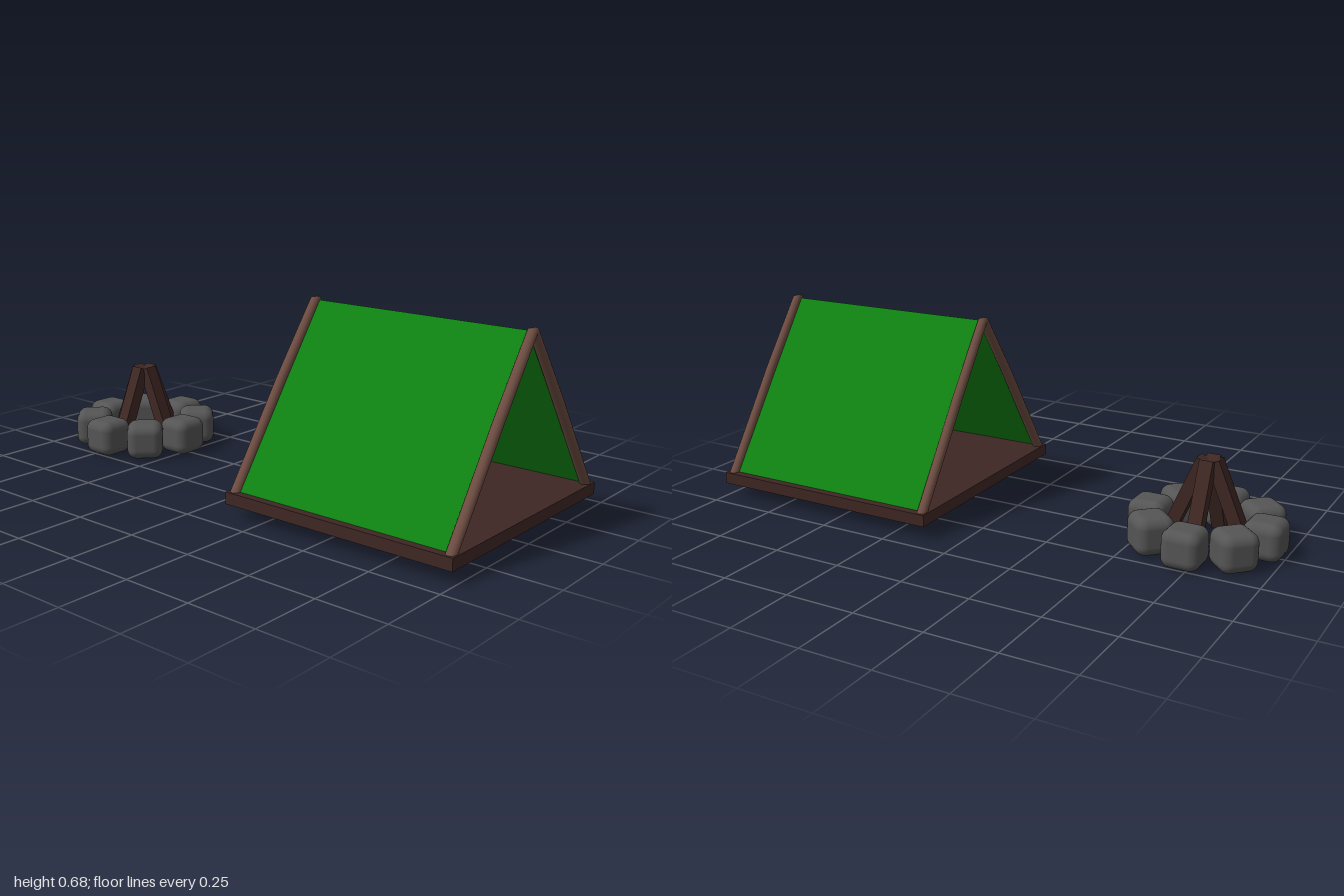
import * as THREE from 'three';
import { RoundedBoxGeometry } from 'three/addons/geometries/RoundedBoxGeometry.js';

const mat = (color, extra = {}) => new THREE.MeshStandardMaterial({ color, ...extra });
const darkWood = mat(0x3e2723);
const paleWood = mat(0x6d4c41, { side: THREE.DoubleSide });
const cloth = mat(0x0f8212, { side: THREE.DoubleSide });
const rock = mat(0x555555);

function add(parent, name, geometry, material) {
  const mesh = new THREE.Mesh(geometry, material);
  mesh.name = name;
  parent.add(mesh);
  return mesh;
}

// Half of the tent outline as [z, y], from the floor to the ridge
const SLOPE = [[0.42, 0.077], [0.18, 0.43], [0, 0.675]];

// Round pole bent over the ridge, slightly bowed, with a blunt top
function poleGeometry(radius = 0.018, sides = 16) {
  const stations = [
    ...SLOPE.map(([z, y]) => [z, y, 1]),
    ...[...SLOPE].reverse().map(([z, y]) => [-z, y, -1]),
  ];
  const positions = [], index = [];
  const ny = 0.575, nz = 0.818; // outward direction of the slope
  stations.forEach(([z, y, side], i) => {
    for (let j = 0; j < sides; j++) {
      const a = (j / sides) * Math.PI * 2;
      const c = Math.cos(a) * radius;
      const pz = Math.max(0, Math.abs(z) + c * nz);
      positions.push(Math.sin(a) * radius, y + c * ny, side * pz);
      if (i < stations.length - 1) {
        const p = i * sides + j, q = i * sides + (j + 1) % sides;
        index.push(p, q, p + sides, q, q + sides, p + sides);
      }
    }
  });
  const g = new THREE.BufferGeometry();
  g.setAttribute('position', new THREE.Float32BufferAttribute(positions, 3));
  g.setIndex(index);
  g.computeVertexNormals();
  return g;
}

function createTent() {
  const tent = new THREE.Group();
  tent.name = 'tent';
  tent.position.x = 0.56;

  add(tent, 'floor', new THREE.BoxGeometry(0.88, 0.042, 0.88), darkWood).position.y = 0.069;

  for (const side of [-1, 1]) {
    add(tent, 'pole', poleGeometry(), paleWood).position.x = side * 0.418;

    // Flat cloth sheet from ridge to floor edge
    const [z, y] = SLOPE[0], top = SLOPE[2][1];
    const sheet = add(tent, 'clothSide',
      new THREE.PlaneGeometry(0.836, Math.hypot(z, top - y)), cloth);
    sheet.position.set(0, (y + top) / 2, side * z / 2);
    const tilt = Math.atan2(z, top - y);
    sheet.rotation.x = side > 0 ? -tilt : Math.PI + tilt;
  }
  return tent;
}

function createCampfire() {
  const fire = new THREE.Group();
  fire.name = 'campfire';
  fire.position.x = -0.727;

  // Ring of rounded stones
  const stone = new RoundedBoxGeometry(0.135, 0.133, 0.135, 4, 0.036);
  for (let i = 0; i < 8; i++) {
    const a = (i / 8) * Math.PI * 2;
    const mesh = add(fire, 'stone', stone, rock);
    mesh.position.set(Math.cos(a) * 0.205, 0.067, Math.sin(a) * 0.199);
    mesh.rotation.y = -a;
  }

  // Four square logs leaning together
  const foot = [0.136, 0.022], head = [0.018, 0.301];
  const lean = Math.atan2(foot[0] - head[0], head[1] - foot[1]);
  const log = new THREE.BoxGeometry(0.046, Math.hypot(foot[0] - head[0], head[1] - foot[1]), 0.048);
  for (let i = 0; i < 4; i++) {
    const arm = new THREE.Group();
    arm.name = 'logArm';
    arm.rotation.y = i * Math.PI / 2;
    const mesh = add(arm, 'log', log, darkWood);
    mesh.position.set((foot[0] + head[0]) / 2, (foot[1] + head[1]) / 2, 0);
    mesh.rotation.z = lean;
    fire.add(arm);
  }
  return fire;
}

export function createModel() {
  const model = new THREE.Group();
  model.name = 'campsite';
  model.add(createTent(), createCampfire());
  return model;
}
